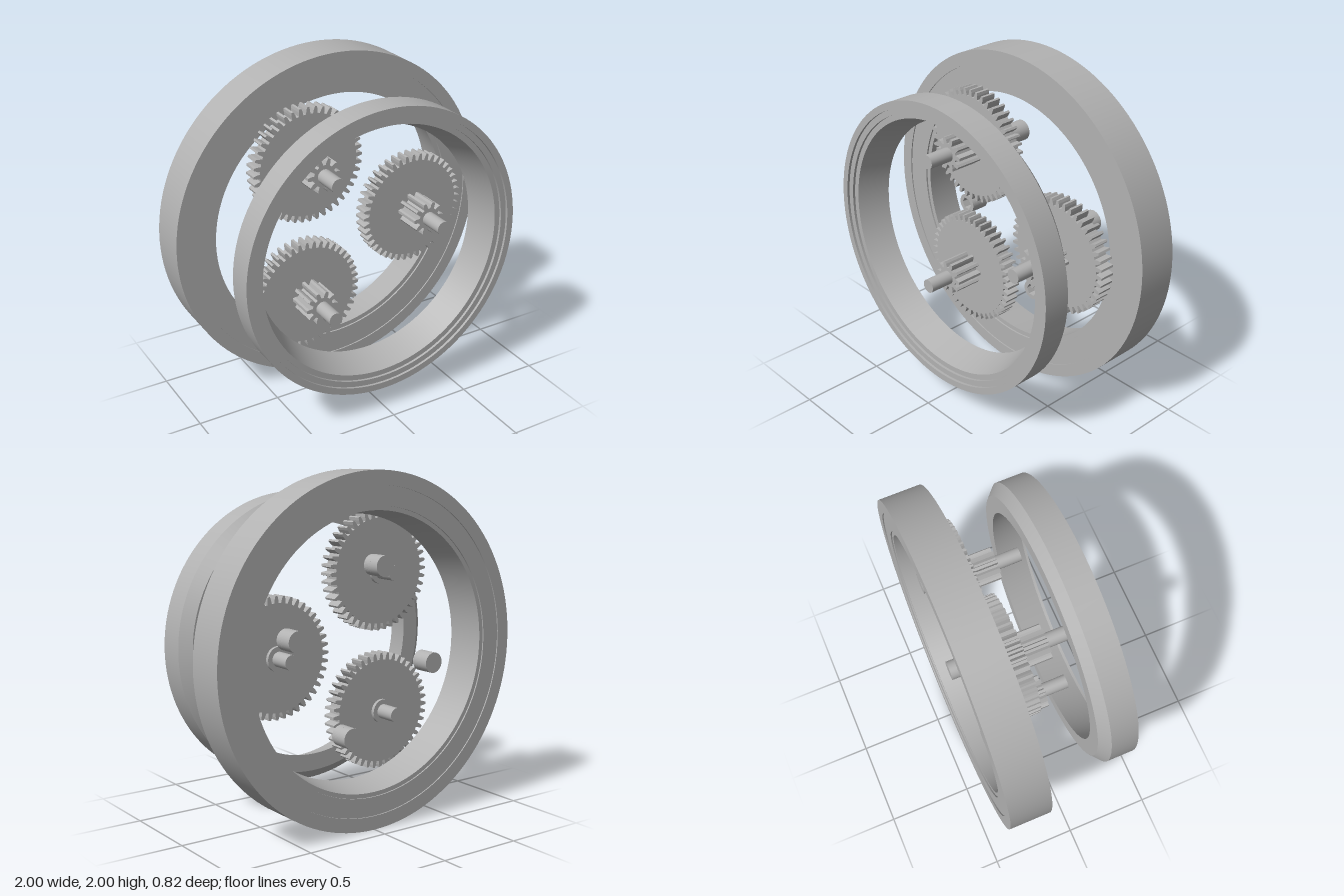
import * as THREE from 'three';
import { mergeGeometries } from 'three/addons/utils/BufferGeometryUtils.js';

const metal = new THREE.MeshStandardMaterial({ color: 0xb2b2b2 });
metal.name = 'grey metal';

// Closed ring from a counter-clockwise (radius, z) profile; every corner stays sharp
function ring(name, profile) {
  const bands = profile.map((p, i) => {
    const q = profile[(i + 1) % profile.length];
    return new THREE.LatheGeometry([new THREE.Vector2(...p), new THREE.Vector2(...q)], 128);
  });
  const mesh = new THREE.Mesh(mergeGeometries(bands).rotateX(Math.PI / 2), metal);
  mesh.name = name;
  mesh.position.y = 1;
  return mesh;
}

// Cylinder along z between two depths
function rod(name, radius, z0, z1) {
  const geometry = new THREE.CylinderGeometry(radius, radius, z1 - z0, 32).rotateX(Math.PI / 2);
  const mesh = new THREE.Mesh(geometry, metal);
  mesh.name = name;
  mesh.position.z = (z0 + z1) / 2;
  return mesh;
}

// Shape with a given depth, starting at z0
function plate(name, shape, z0, z1) {
  const geometry = new THREE.ExtrudeGeometry(shape, { depth: z1 - z0, bevelEnabled: false, curveSegments: 24 });
  const mesh = new THREE.Mesh(geometry, metal);
  mesh.name = name;
  mesh.position.z = z0;
  return mesh;
}

// Spur gear outline with tapered, slightly rounded teeth
function gearShape(teeth, root, tip) {
  const points = [];
  const mid = root + (tip - root) * 0.6;
  const tooth = [[-0.32, root], [-0.23, mid], [-0.13, tip], [0.13, tip], [0.23, mid], [0.32, root]];
  for (let i = 0; i < teeth; i++) {
    for (const [offset, r] of tooth) {
      const a = ((i + offset) / teeth) * Math.PI * 2;
      points.push(new THREE.Vector2(r * Math.cos(a), r * Math.sin(a)));
    }
  }
  return new THREE.Shape(points);
}

// Large gear, pinion, shaft and rear collar on one axis
function gearSet(name, x, y) {
  const group = new THREE.Group();
  group.name = name;
  group.position.set(x, y, 0);
  group.add(
    plate('largeGear', gearShape(44, 0.303, 0.343), -0.145, -0.055),
    plate('pinion', gearShape(10, 0.066, 0.102), -0.055, 0.117),
    rod('shaft', 0.042, -0.29, 0.27),
    rod('rearCollar', 0.07, -0.165, -0.145)
  );
  return group;
}

// Short screw with a hexagonal socket in its front face
function screw(name, x, y) {
  const head = new THREE.Shape().absarc(0, 0, 0.06, 0, Math.PI * 2);
  const hex = [];
  for (let i = 0; i < 6; i++) {
    const a = (i * Math.PI) / 3;
    hex.push(new THREE.Vector2(0.038 * Math.cos(a), 0.038 * Math.sin(a)));
  }
  head.holes.push(new THREE.Path(hex));
  const group = new THREE.Group();
  group.name = name;
  group.position.set(x, y, 0);
  group.add(rod('screwBase', 0.06, -0.35, -0.29), plate('socketHead', head, -0.29, -0.235));
  return group;
}

export function createModel() {
  const model = new THREE.Group();
  model.name = 'planetaryGearAssembly';

  // Large rear ring with shallow stepped faces
  model.add(ring('rearRing', [
    [1, -0.41], [1, -0.165], [0.925, -0.165], [0.925, -0.172], [0.785, -0.172],
    [0.785, -0.182], [0.757, -0.182], [0.785, -0.395], [0.81, -0.395],
    [0.81, -0.403], [0.92, -0.403], [0.92, -0.41]
  ]));

  // Smaller front ring, chamfered behind, with a tapering bore
  model.add(ring('frontRing', [
    [0.8, 0.195], [0.86, 0.25], [0.86, 0.41], [0.82, 0.41], [0.82, 0.395],
    [0.785, 0.395], [0.785, 0.38], [0.752, 0.38], [0.697, 0.195]
  ]));

  // Three gear sets spread round the axis
  model.add(
    gearSet('upperGearSet', -0.228, 1.42),
    gearSet('sideGearSet', 0.472, 0.99),
    gearSet('lowerGearSet', -0.25, 0.6)
  );

  // Four screws on one bolt circle
  for (let i = 0; i < 4; i++) {
    const a = THREE.MathUtils.degToRad(13 + 90 * i);
    model.add(screw('screw' + (i + 1), 0.485 * Math.cos(a), 1 + 0.485 * Math.sin(a)));
  }
  return model;
}
